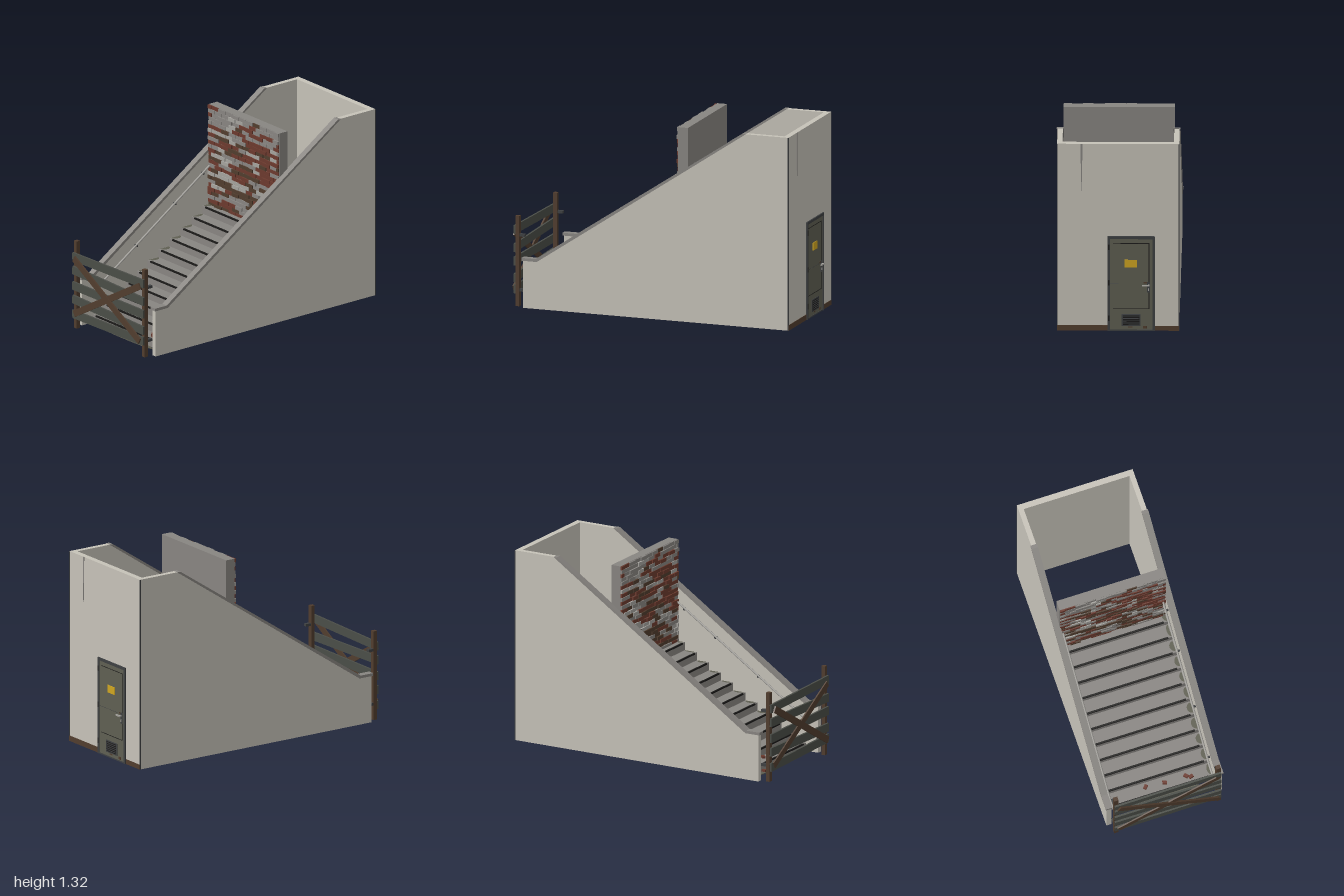
import * as THREE from 'three';
import { mergeGeometries } from 'three/addons/utils/BufferGeometryUtils.js';

const mat = (name, color) => {
  const m = new THREE.MeshStandardMaterial({ color });
  m.name = name;
  return m;
};

export function createModel() {
  const M = {
    plaster: mat('plaster', 0xc6c2b8),
    concrete: mat('concrete', 0x888581),
    black: mat('black', 0x1b1a19),
    door: mat('door olive', 0x5f5f52),
    frame: mat('frame grey', 0x3e4042),
    sign: mat('sign yellow', 0xcfa521),
    wood: mat('dark wood', 0x513d2e),
    plank: mat('weathered plank', 0x4a4d47),
    brick: mat('red brick', 0x6c3a2e),
    metal: mat('pale metal', 0xa5a39e),
  };
  const model = new THREE.Group();
  model.name = 'stairwell';
  const group = (name) => {
    const g = new THREE.Group();
    g.name = name;
    model.add(g);
    return g;
  };
  const add = (parent, name, geo, material) => {
    const m = new THREE.Mesh(geo, material);
    m.name = name;
    parent.add(m);
    return m;
  };
  // Box from its limits on each axis
  const boxGeo = (x0, x1, y0, y1, z0, z1) =>
    new THREE.BoxGeometry(x1 - x0, y1 - y0, z1 - z0).translate((x0 + x1) / 2, (y0 + y1) / 2, (z0 + z1) / 2);
  const box = (parent, name, material, ...b) => add(parent, name, boxGeo(...b), material);
  // Side profile in x, y pushed out between two z values
  const slab = (parent, name, material, pts, z0, z1) => {
    const shape = new THREE.Shape(pts.map(([x, y]) => new THREE.Vector2(x, y)));
    const geo = new THREE.ExtrudeGeometry(shape, { depth: z1 - z0, bevelEnabled: false }).translate(0, 0, z0);
    return add(parent, name, geo, material);
  };
  let seed = 11;
  const rnd = () => {
    seed = (seed * 16807) % 2147483647;
    return seed / 2147483647;
  };

  // Shell: sloping side walls, copings and tall end wall
  const shell = group('shell');
  for (const s of [-1, 1]) {
    const span = (a, b) => (s > 0 ? [a, b] : [-b, -a]);
    slab(shell, 'sideWall', M.plaster,
      [[-0.905, 0], [0.975, 0], [0.975, 1.315], [0.66, 1.315], [-0.81, 0.325], [-0.905, 0.325]], ...span(0.37, 0.405));
    slab(shell, 'coping', M.concrete,
      [[-0.915, 0.322], [-0.807, 0.322], [0.675, 1.316], [0.65, 1.316], [-0.815, 0.341], [-0.915, 0.341]],
      ...span(0.365, 0.411));
    box(shell, 'cornerTrim', M.frame, 0.97, 0.977, 0, 1.314, ...span(0.402, 0.407));
  }
  box(shell, 'endWall', M.plaster, 0.935, 0.975, 0, 1.315, -0.37, 0.37);
  box(shell, 'rustBand', M.wood, 0.974, 0.978, 0, 0.037, 0.07, 0.405);
  box(shell, 'rustBand', M.wood, 0.974, 0.978, 0, 0.033, -0.405, -0.245);

  // Tapering crack at the top of the end wall
  const crack = new THREE.Shape([[-0.25, 1.315], [-0.236, 1.315], [-0.239, 1.15], [-0.244, 0.94], [-0.247, 1.1]]
    .map(([x, y]) => new THREE.Vector2(x, y)));
  add(shell, 'crack', new THREE.ExtrudeGeometry(crack, { depth: 0.002, bevelEnabled: false })
    .rotateY(Math.PI / 2).translate(0.975, 0, 0), M.concrete);

  // Solid flight of steps
  const stairs = group('stairs');
  const N = 12, X0 = -0.81, RUN = 0.0935, RISE = 0.0553;
  const profile = [[X0, 0]];
  for (let i = 0; i < N; i++) {
    profile.push([X0 + i * RUN, (i + 1) * RISE], [X0 + (i + 1) * RUN, (i + 1) * RISE]);
  }
  profile.push([X0 + N * RUN, 0]);
  slab(stairs, 'steps', M.concrete, profile, -0.37, 0.37);
  for (let i = 0; i < N; i++) {
    const x = X0 + i * RUN, y = (i + 1) * RISE;
    if (i < N - 1) box(stairs, 'nosing', M.black, x - 0.004, x + 0.008, y - 0.008, y + 0.002, -0.34, 0.34);
    // Grime gathered at both ends of each tread
    for (const s of [-1, 1]) {
      const grime = new THREE.CircleGeometry(1, 10, s > 0 ? 0 : Math.PI, Math.PI);
      grime.rotateX(-Math.PI / 2).scale(0.035 + 0.008 * rnd(), 1, 0.02 + 0.02 * rnd());
      add(stairs, 'grime', grime, M.door).position.set(x + RUN / 2, y + 0.002, s * 0.365);
    }
  }

  // Silt drift and brick rubble at the foot
  const silt = new THREE.CylinderGeometry(1, 1, 0.006, 14).scale(0.022, 1, 0.31);
  add(stairs, 'silt', silt, M.door).position.set(-0.832, 0.003, -0.02);
  for (const [x, z, y] of [[-0.83, -0.2, 0.012], [-0.75, -0.08, 0.064], [-0.76, 0.05, 0.064], [-0.76, 0.2, 0.064], [-0.775, 0.23, 0.064]]) {
    const r = add(stairs, 'rubble', new THREE.BoxGeometry(0.03, 0.016, 0.022), M.brick);
    r.position.set(x, y, z);
    r.rotation.y = rnd() * 3;
  }

  // Handrails with wall brackets
  const rails = group('handrails');
  const railY = (x) => 0.23 + Math.max(0, x + 0.815) * 0.667;
  for (const s of [-1, 1]) {
    const path = new THREE.CurvePath();
    const p = [-0.89, -0.815, 0.17].map((x) => new THREE.Vector3(x, railY(x), s * 0.35));
    path.add(new THREE.LineCurve3(p[0], p[1]));
    path.add(new THREE.LineCurve3(p[1], p[2]));
    add(rails, 'handrail', new THREE.TubeGeometry(path, 40, 0.007, 8), M.metal);
    for (const x of [-0.75, -0.45, -0.12, 0.12]) {
      const z = s * 0.36;
      box(rails, 'bracket', M.frame, x - 0.006, x + 0.006, railY(x) - 0.018, railY(x) - 0.004, z - 0.012, z + 0.012);
    }
  }

  // Blocking wall with uneven bricks on the stair side
  const barrier = group('brickBarrier');
  box(barrier, 'barrierCore', M.concrete, 0.181, 0.25, 0.55, 1.315, -0.37, 0.37);
  const piles = { concrete: [], metal: [], brick: [], wood: [] };
  const ROWS = 26, H = 0.715 / ROWS, L = 0.072;
  let kind = 'concrete';
  for (let r = 0; r < ROWS; r++) {
    for (let z = -0.37 - (r % 2) * L / 2; z < 0.37; z += L) {
      const a = Math.max(z, -0.37) + 0.001, b = Math.min(z + L, 0.37) - 0.001;
      if (b - a < 0.01) continue;
      if (rnd() < 0.65) {
        const k = rnd();
        kind = k < 0.36 ? 'concrete' : k < 0.5 ? 'metal' : k < 0.78 ? 'brick' : 'wood';
      }
      const y = 0.6 + r * H;
      piles[kind].push(boxGeo(0.167 + 0.01 * rnd(), 0.182, y + 0.0015, y + H - 0.0015, a, b));
    }
  }
  for (const k in piles) add(barrier, k + 'Bricks', mergeGeometries(piles[k]), M[k]);

  // Plank gate with posts, cross braces and hinge pins
  const gate = group('gate');
  for (const s of [-1, 1]) {
    box(gate, 'gatePost', M.wood, -0.973, -0.945, 0, 0.615, s * 0.358 - 0.015, s * 0.358 + 0.015);
    for (const y of [0.11, 0.485]) {
      box(gate, 'hingePin', M.frame, -0.946, -0.907, y - 0.009, y + 0.009, s * 0.36 - 0.012, s * 0.36 + 0.012);
    }
  }
  const beam = (name, material, x, y0, y1, half, h, t) => {
    const m = add(gate, name, new THREE.BoxGeometry(t, h, Math.hypot(2 * half, y1 - y0)), material);
    m.position.set(x, (y0 + y1) / 2, 0);
    m.rotation.x = -Math.atan2(y1 - y0, 2 * half);
  };
  for (const [y0, y1] of [[0.1, 0.115], [0.205, 0.19], [0.3, 0.305], [0.41, 0.395], [0.505, 0.52]]) {
    beam('gatePlank', M.plank, -0.98, y0, y1, 0.372, 0.058, 0.014);
  }
  beam('crossBrace', M.wood, -0.991, 0.11, 0.5, 0.345, 0.045, 0.01);
  beam('crossBrace', M.wood, -0.994, 0.5, 0.11, 0.345, 0.045, 0.012);

  // Service door on the end wall
  const door = group('serviceDoor');
  box(door, 'doorLeaf', M.door, 0.97, 0.979, 0.004, 0.648, -0.228, 0.054);
  box(door, 'frameSide', M.frame, 0.97, 0.985, 0, 0.665, 0.054, 0.071);
  box(door, 'frameSide', M.frame, 0.97, 0.985, 0, 0.665, -0.246, -0.228);
  box(door, 'frameTop', M.frame, 0.97, 0.985, 0.647, 0.665, -0.228, 0.054);
  box(door, 'threshold', M.frame, 0.97, 0.983, 0, 0.008, -0.228, 0.054);
  box(door, 'grooveTop', M.black, 0.978, 0.98, 0.613, 0.617, -0.207, 0.033);
  box(door, 'grooveBottom', M.black, 0.978, 0.98, 0.152, 0.156, -0.207, 0.033);
  box(door, 'grooveSide', M.black, 0.978, 0.98, 0.156, 0.613, -0.207, -0.203);
  box(door, 'seam', M.frame, 0.978, 0.98, 0.332, 0.334, -0.16, 0.054);
  box(door, 'warningPlate', M.sign, 0.978, 0.984, 0.448, 0.5, -0.125, -0.043);
  for (const y of [0.09, 0.34, 0.59]) box(door, 'hinge', M.black, 0.978, 0.988, y - 0.018, y + 0.018, 0.056, 0.066);

  // Louvred vent
  box(door, 'ventFrame', M.frame, 0.978, 0.983, 0.033, 0.116, -0.15, -0.024);
  box(door, 'ventOpening', M.black, 0.978, 0.984, 0.041, 0.108, -0.142, -0.032);
  for (let i = 0; i < 5; i++) {
    box(door, 'louvre', M.frame, 0.98, 0.987, 0.048 + i * 0.0125, 0.052 + i * 0.0125, -0.142, -0.032);
  }

  // Lever handle, lock plate and rust stains
  box(door, 'lockPlate', M.frame, 0.978, 0.984, 0.27, 0.345, -0.21, -0.193);
  box(door, 'handleStem', M.metal, 0.984, 1.0, 0.318, 0.328, -0.207, -0.197);
  box(door, 'handleLever', M.metal, 0.992, 1.0, 0.318, 0.328, -0.207, -0.158);
  box(door, 'keyhole', M.metal, 0.984, 0.987, 0.282, 0.298, -0.206, -0.197);
  box(door, 'rustStain', M.wood, 0.978, 0.981, 0.333, 0.343, -0.205, -0.17);
  box(door, 'rustStain', M.wood, 0.978, 0.981, 0.015, 0.033, -0.19, -0.165);
  box(door, 'rustStain', M.wood, 0.978, 0.981, 0.022, 0.03, -0.095, -0.065);
  return model;
}
